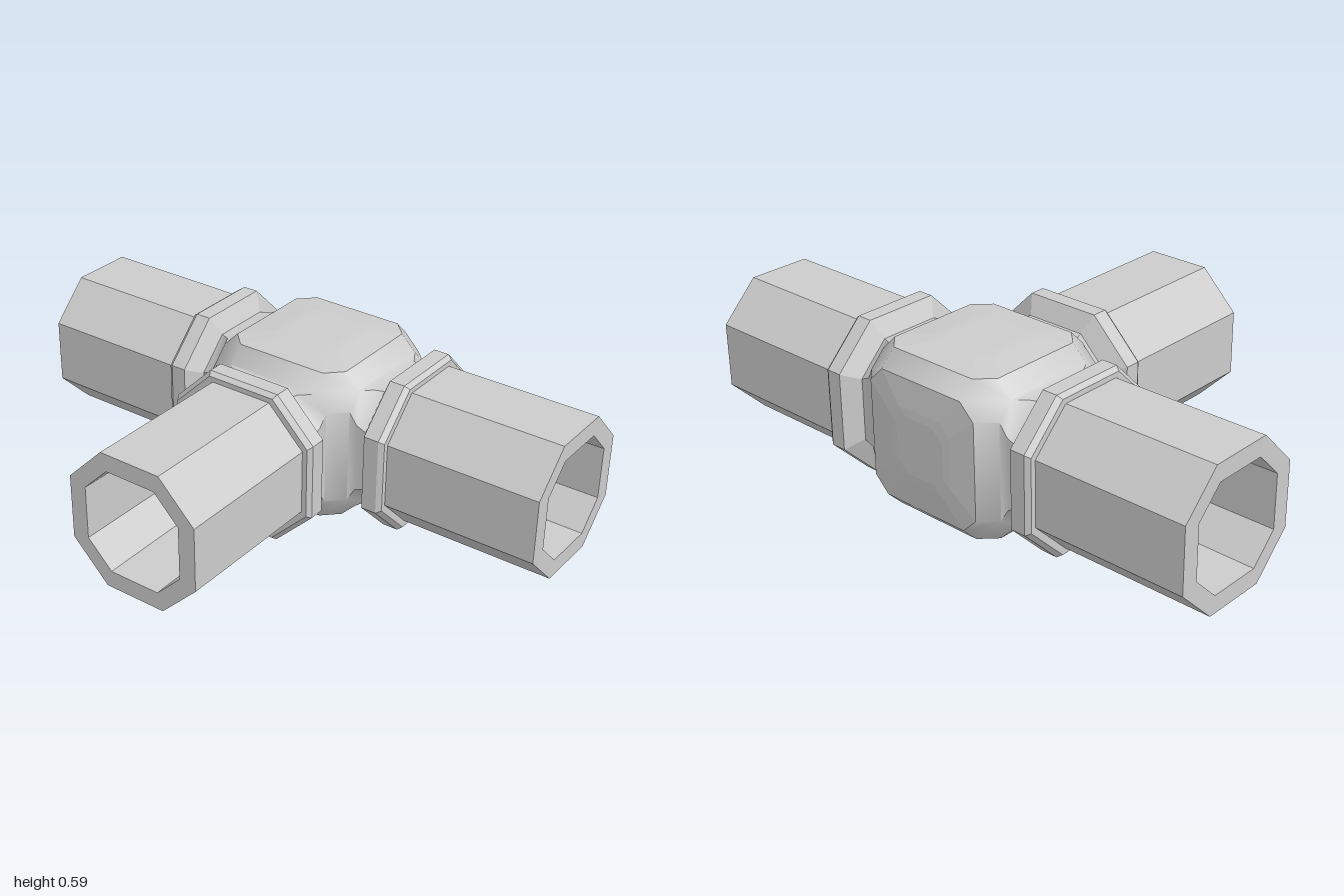
import * as THREE from 'three';
import { mergeGeometries, toCreasedNormals } from 'three/addons/utils/BufferGeometryUtils.js';

// Hub panel: distance from hub centre, half width, half length of its straight side
const A = 0.28, B = 0.225, C = 0.17;
const INNER = 0.8;   // scale of the hollow inside the hub
const DOME = 0.293;  // height of the domed panels

function fromPoints(points) {
  const g = new THREE.BufferGeometry().setFromPoints(points);
  g.computeVertexNormals();
  return g;
}

// Skin between octagonal rings [z, half width, half side] along z
function loft(rings) {
  const loops = rings.map(([z, r, c]) =>
    [[r, -c], [r, c], [c, r], [-c, r], [-r, c], [-r, -c], [-c, -r], [c, -r]]
      .map(([x, y]) => new THREE.Vector3(x, y, z)));
  const out = [];
  for (let i = 0; i + 1 < loops.length; i++) {
    const a = loops[i], b = loops[i + 1];
    for (let j = 0; j < 8; j++) {
      const k = (j + 1) % 8;
      out.push(a[j], a[k], b[k], a[j], b[k], b[j]);
    }
  }
  return fromPoints(out);
}

// Bevelled edges and corners of the hub; inward = true turns the faces inside
function hubBevels(scale, inward) {
  const out = [];
  const addPolygon = (pts) => {
    const p = pts.map((q) => new THREE.Vector3(...q).multiplyScalar(scale));
    const n = p[1].clone().sub(p[0]).cross(p[2].clone().sub(p[0]));
    if ((n.dot(p[0]) < 0) !== inward) p.reverse();
    for (let i = 1; i + 1 < p.length; i++) out.push(p[0], p[i], p[i + 1]);
  };
  const signs = [-1, 1];
  for (let k = 0; k < 3; k++) {
    const i = (k + 1) % 3, j = (k + 2) % 3;
    for (const s of signs) for (const t of signs) {
      addPolygon([[A, B, -C], [A, B, C], [B, A, C], [B, A, -C]].map(([u, v, w]) => {
        const q = [0, 0, 0];
        q[i] = s * u; q[j] = t * v; q[k] = w;
        return q;
      }));
    }
  }
  for (const x of signs) for (const y of signs) for (const z of signs) {
    addPolygon([[A, B, C], [B, A, C], [C, A, B], [C, B, A], [B, C, A], [A, C, B]]
      .map(([u, v, w]) => [x * u, y * v, z * w]));
  }
  return fromPoints(out);
}

export function createModel() {
  const model = new THREE.Group();
  model.name = 'pipeTee';
  const hub = new THREE.Group();
  hub.name = 'fitting';
  hub.position.set(0, DOME, -(1 - DOME) / 2);
  model.add(hub);

  const flat = new THREE.MeshStandardMaterial({ color: 0xcccccc, flatShading: true });
  const smooth = new THREE.MeshStandardMaterial({ color: 0xcccccc });
  const add = (name, geometry, material = flat) => {
    const mesh = new THREE.Mesh(geometry, material);
    mesh.name = name;
    hub.add(mesh);
  };

  // Three arms: neck, collar and hollow pipe
  const neck = loft([[A, B, C], [0.305, 0.218, 0.125], [0.345, 0.217, 0.108]]);
  const collar = loft([[0.338, 0.215, 0.108], [0.375, 0.28, 0.137], [0.43, 0.28, 0.137],
    [0.447, 0.268, 0.128], [0.447, 0.245, 0.115]]);
  const pipe = loft([[0.44, 0.25, 0.115], [1, 0.25, 0.115], [1, 0.1875, 0.095],
    [0.45, 0.181, 0.092], [0.3, 0.18, 0.092], [A * INNER, B * INNER, C * INNER]]);
  const necks = [];
  for (const [side, turn] of [['front', 0], ['left', Math.PI / 2], ['right', -Math.PI / 2]]) {
    necks.push(neck.clone().rotateY(turn));
    add(side + 'Collar', collar.clone().rotateY(turn));
    add(side + 'Pipe', pipe.clone().rotateY(turn));
  }

  // Hub shell blending into the necks, and its hollow inside
  add('hubShell', toCreasedNormals(mergeGeometries([hubBevels(1, false), ...necks]), 0.7), smooth);
  add('hubInside', hubBevels(INNER, true));

  // Domed panels on the closed sides, each with a flat inner wall
  const panel = loft([[A, B, C], [DOME - 0.002, 0.13, 0.09], [DOME, 0.1, 0.06], [DOME, 0, 0]]);
  const wall = loft([[A * INNER, 0, 0], [A * INNER, B * INNER, C * INNER]]);
  for (const [side, turn] of [['top', -Math.PI / 2], ['bottom', Math.PI / 2], ['back', Math.PI]]) {
    add(side + 'Panel', panel.clone().rotateX(turn));
    add(side + 'InnerWall', wall.clone().rotateX(turn));
  }
  return model;
}
